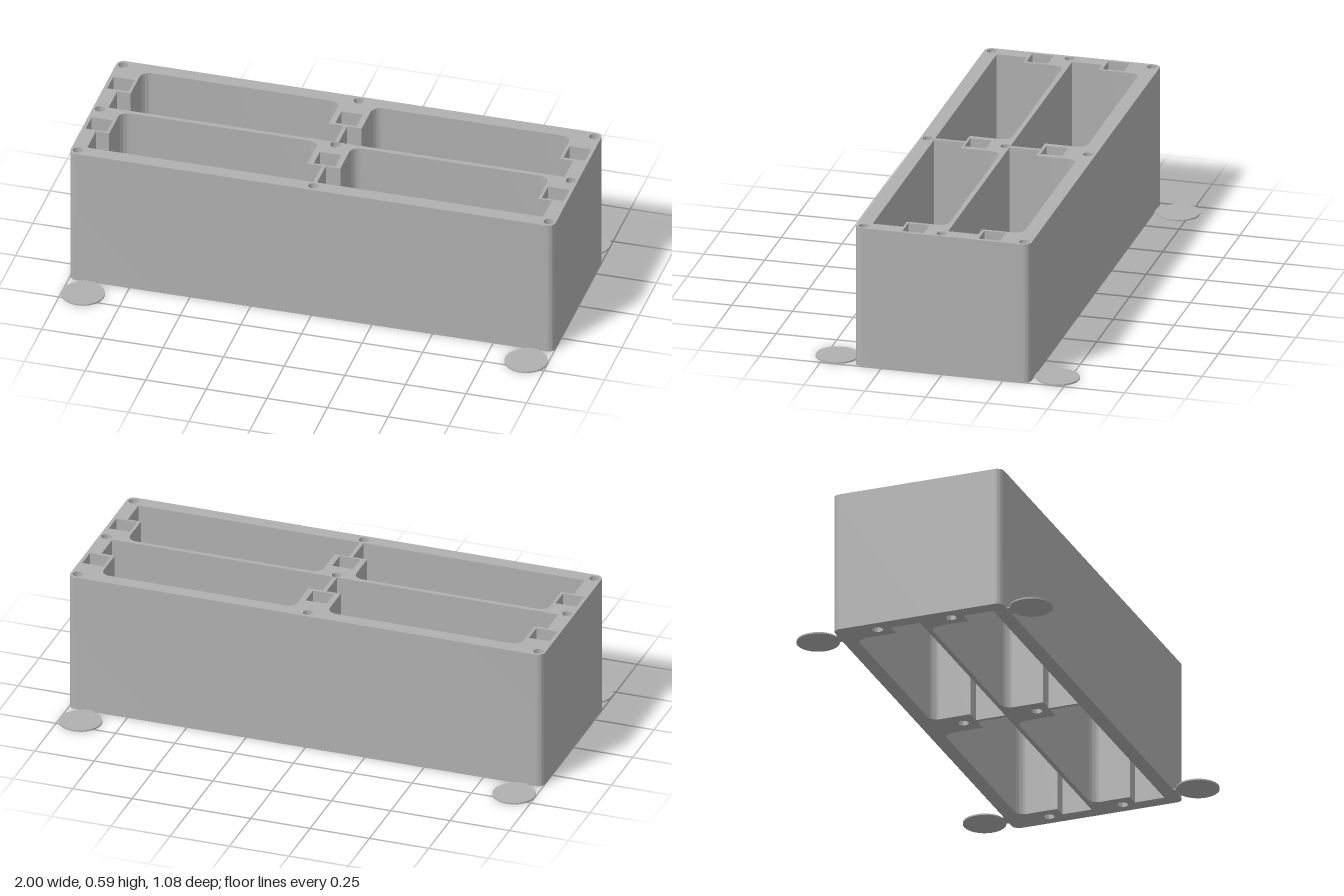
import * as THREE from 'three';
import { toCreasedNormals } from 'three/addons/utils/BufferGeometryUtils.js';

const HEIGHT = 0.59, HALF_DEPTH = 0.36;
const grey = new THREE.MeshStandardMaterial({ color: 0xb0b0b0 });
grey.name = 'plainGrey';

// Outline from [x, z, cornerRadius] points
function outline(points, Type = THREE.Path) {
  const path = new Type();
  const n = points.length;
  points.forEach(([x, z, r = 0], i) => {
    const p = new THREE.Vector2(x, -z);
    const [ax, az] = points[(i + n - 1) % n];
    const [bx, bz] = points[(i + 1) % n];
    const start = new THREE.Vector2(ax, -az).sub(p).setLength(r).add(p);
    const end = new THREE.Vector2(bx, -bz).sub(p).setLength(r).add(p);
    if (i === 0) path.moveTo(start.x, start.y);
    else path.lineTo(start.x, start.y);
    if (r) {
      const k = 0.5523;
      const c1 = start.clone().lerp(p, k), c2 = end.clone().lerp(p, k);
      path.bezierCurveTo(c1.x, c1.y, c2.x, c2.y, end.x, end.y);
    }
  });
  path.closePath();
  return path;
}

const rect = (x, z, hx, hz, r = 0) =>
  [[x - hx, z + hz, r], [x + hx, z + hz, r], [x + hx, z - hz, r], [x - hx, z - hz, r]];

function circle(x, z, r) {
  const path = new THREE.Path();
  path.absarc(x, -z, r, 0, Math.PI * 2, true);
  return path;
}

// Upright extrusion standing on y = 0
function upright(shape, height) {
  const geo = new THREE.ExtrudeGeometry(shape, { depth: height, bevelEnabled: false, curveSegments: 12 });
  geo.rotateX(-Math.PI / 2);
  return toCreasedNormals(geo, 0.6);
}

export function createModel() {
  const model = new THREE.Group();
  const add = (name, geo, x = 0, y = 0, z = 0) => {
    const mesh = new THREE.Mesh(geo, grey);
    mesh.name = name;
    mesh.position.set(x, y, z);
    model.add(mesh);
  };

  // Main block with four bays, each notched by two screw posts
  const block = outline(rect(0, 0, 1, HALF_DEPTH, 0.03), THREE.Shape);
  for (const side of [-1, 1]) {
    for (const [zBack, zPost, zFront] of [[-0.301, -0.133, -0.009], [0.01, 0.176, 0.301]]) {
      block.holes.push(outline([
        [side * 0.885, zBack, 0.04], [side * 0.068, zBack, 0.04],
        [side * 0.068, zPost], [side * 0.008, zPost],
        [side * 0.008, zFront], [side * 0.94, zFront],
        [side * 0.94, zPost], [side * 0.885, zPost],
      ]));
    }
  }

  // Square nut pockets and blind pin holes, cut through and then floored
  const pockets = [], pins = [];
  for (const x of [-0.941, 0, 0.941])
    for (const z of [-0.19, 0.1225]) pockets.push([x, z]);
  for (const x of [-0.971, 0, 0.971])
    for (const z of [-0.329, 0.01, 0.329]) pins.push([x, z]);
  pockets.forEach(([x, z]) => block.holes.push(outline(rect(x, z, 0.044, 0.044))));
  pins.forEach(([x, z]) => block.holes.push(circle(x, z, 0.02)));
  add('block', upright(block, HEIGHT));

  // Pocket floors with a screw hole running down to the base
  const floor = outline(rect(0, 0, 0.044, 0.044), THREE.Shape);
  floor.holes.push(circle(0, 0, 0.022));
  const floorGeo = upright(floor, HEIGHT - 0.06);
  pockets.forEach(([x, z]) => add('pocketFloor', floorGeo, x, 0, z));

  // Pin hole floors
  const pinHeight = HEIGHT - 0.06;
  const pinGeo = new THREE.CylinderGeometry(0.0202, 0.0202, pinHeight, 24);
  pins.forEach(([x, z]) => add('pinHoleFloor', pinGeo, x, pinHeight / 2, z));

  // Thin round anchor discs joined to the block by small tabs
  const discGeo = new THREE.CylinderGeometry(0.0865, 0.0865, 0.006, 40);
  const tabGeo = new THREE.BoxGeometry(0.055, 0.005, 0.05);
  for (const sx of [-1, 1]) {
    for (const sz of [-1, 1]) {
      add('anchorDisc', discGeo, sx * 0.9135, 0.003, sz * 0.4535);
      add('anchorTab', tabGeo, sx * 0.9135, 0.0025, sz * 0.37);
    }
  }
  return model;
}
